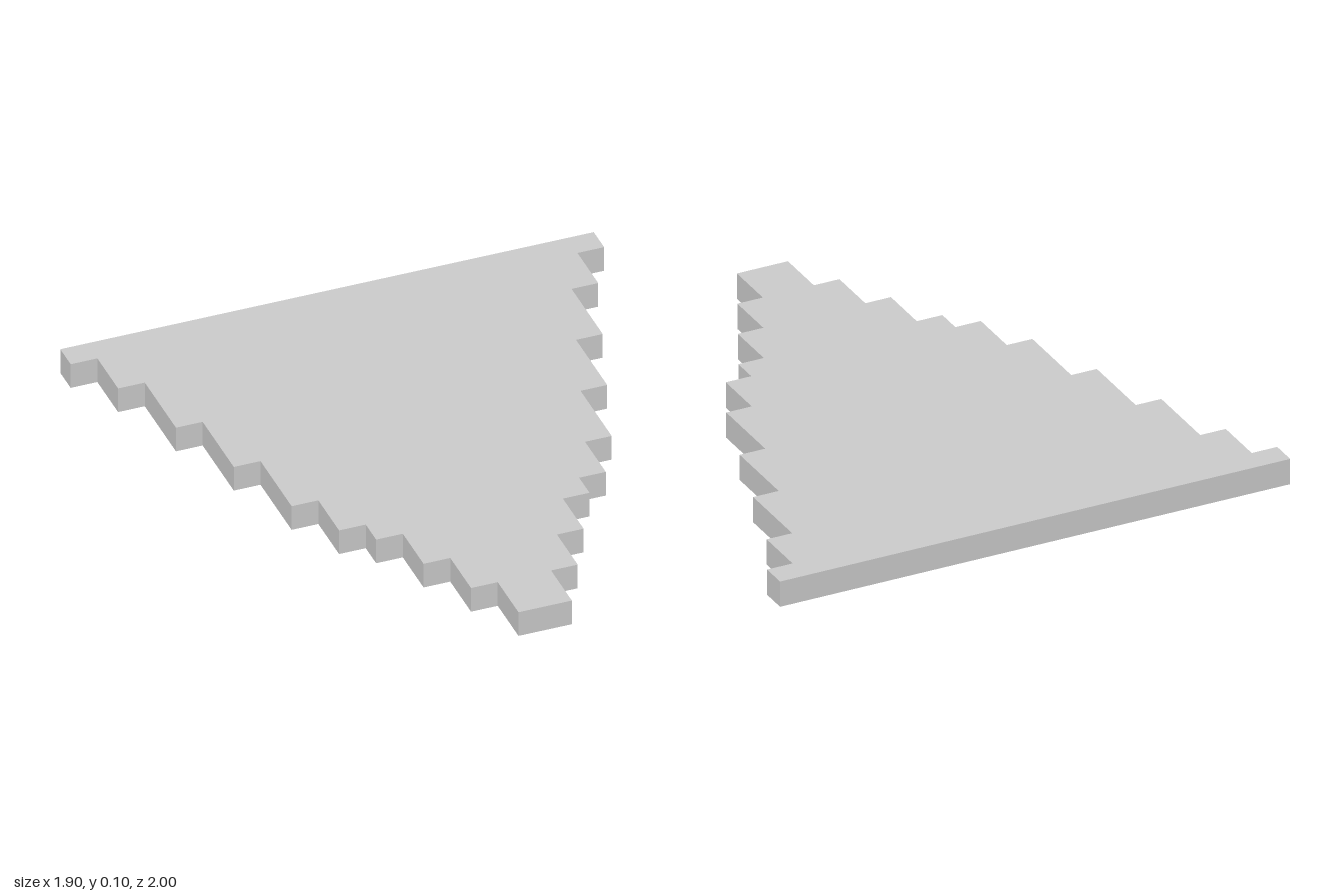
import * as THREE from 'three';

export function createModel() {
  const group = new THREE.Group();
  const unit = 2 / 21; // one grid cell; also the slab thickness

  // Depth in cells of each step, from the wide back edge to the narrow front.
  const depths = [1, 2, 3, 3, 3, 2, 1, 2, 2, 2];

  // Right-hand staircase: each step is one cell narrower than the last.
  const side = [];
  let z = -1;
  depths.forEach((depth, i) => {
    const halfWidth = (depths.length - i) * unit;
    side.push([halfWidth, z], [halfWidth, z + depth * unit]);
    z += depth * unit;
  });

  // Mirror the staircase to close the outline, then lay it flat (shape y is -z).
  const mirrored = side.map(([x, zz]) => [-x, zz]).reverse();
  const outline = new THREE.Shape(
    [...side, ...mirrored].map(([x, zz]) => new THREE.Vector2(x, -zz))
  );
  const geometry = new THREE.ExtrudeGeometry(outline, { depth: unit, bevelEnabled: false });
  geometry.rotateX(-Math.PI / 2);

  const slab = new THREE.Mesh(
    geometry,
    new THREE.MeshStandardMaterial({ color: 0xcccccc, flatShading: true })
  );
  slab.name = 'steppedSlab';
  group.add(slab);
  return group;
}
